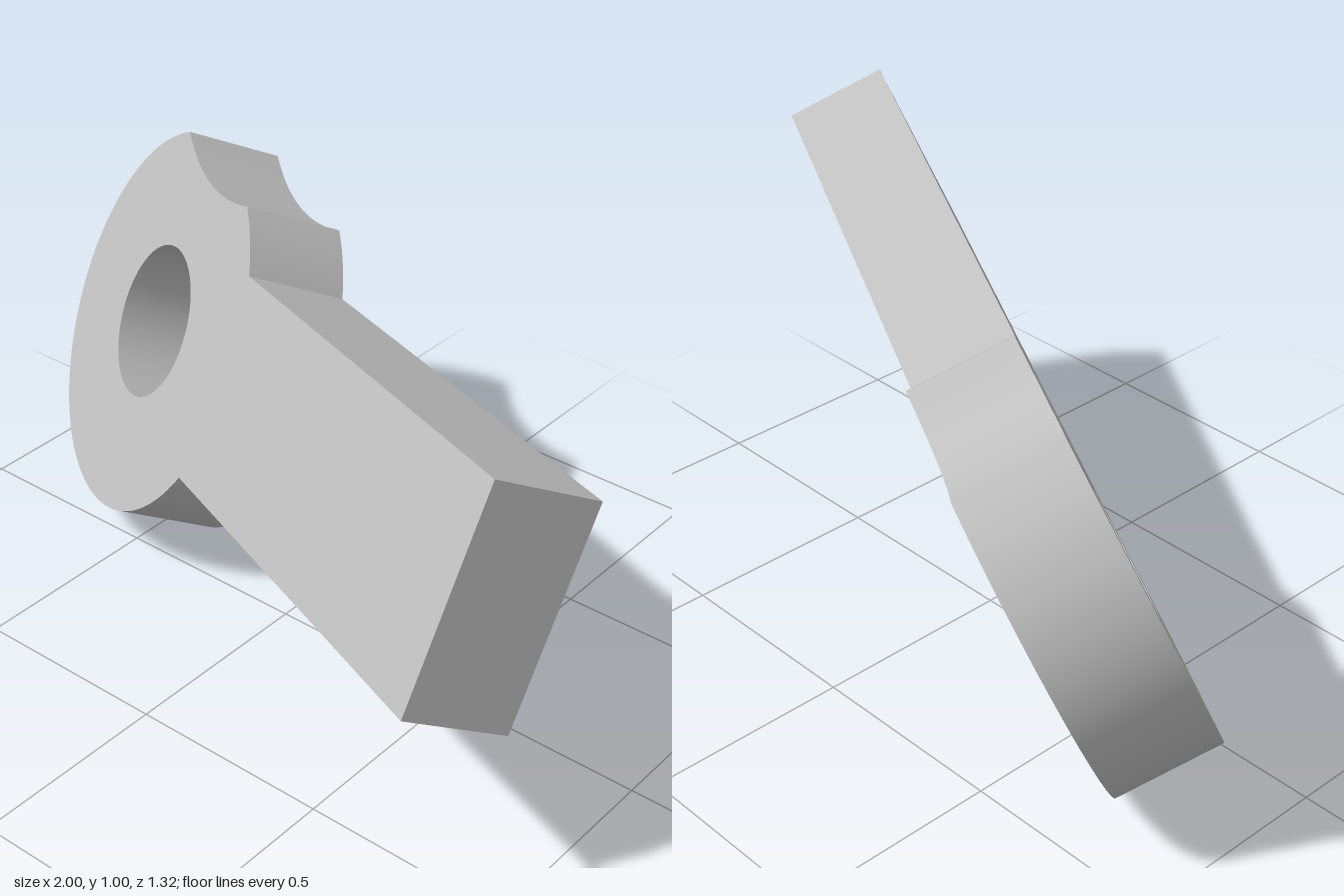
import * as THREE from 'three';
import { toCreasedNormals } from 'three/addons/utils/BufferGeometryUtils.js';

const RING = 0.483, HOLE = 0.194, HALF = 0.258, END = 1.615, DEPTH = 0.256;

// Outline of the plate, with the ring centre at the origin and the bar along +x
function plateShape() {
  const neck = Math.asin(HALF / RING);
  const mid = THREE.MathUtils.degToRad(81.3), half = THREE.MathUtils.degToRad(26.9);

  // Shallow scallop: an arc centred outside the ring
  const chord = RING * Math.sin(half), sag = 0.044;
  const r = (chord * chord + sag * sag) / (2 * sag);
  const dist = RING * Math.cos(half) - sag + r;
  const spread = Math.asin(chord / r);

  const shape = new THREE.Shape();
  shape.moveTo(RING * Math.cos(neck), -HALF);
  shape.lineTo(END, -HALF);
  shape.lineTo(END, HALF);
  shape.absarc(0, 0, RING, neck, mid - half, false);
  shape.absarc(dist * Math.cos(mid), dist * Math.sin(mid), r,
    mid + Math.PI + spread, mid + Math.PI - spread, true);
  shape.absarc(0, 0, RING, mid + half, 2 * Math.PI - neck, false);

  const hole = new THREE.Path();
  hole.absarc(0, 0, HOLE, 0, 2 * Math.PI, true);
  shape.holes.push(hole);
  return shape;
}

export function createModel() {
  const group = new THREE.Group();
  group.name = 'ringLever';
  const grey = new THREE.MeshStandardMaterial({ color: 0xbfbfbf });
  grey.name = 'light grey';

  // Plate with ring eye, scallop and bar
  let geometry = new THREE.ExtrudeGeometry(plateShape(), {
    depth: DEPTH, bevelEnabled: false, curveSegments: 48,
  });
  geometry.translate(0, 0, -DEPTH);
  geometry.clearGroups();
  geometry = toCreasedNormals(geometry, 0.4);
  const lever = new THREE.Mesh(geometry, grey);
  lever.name = 'lever';

  // Tilted pose: bar direction, then face normal
  const u = new THREE.Vector3(0.887, 0.137, 0.44).normalize();
  const n = u.clone().cross(new THREE.Vector3(0.068, 0.902, -0.427)).normalize();
  const v = n.clone().cross(u);
  lever.quaternion.setFromRotationMatrix(new THREE.Matrix4().makeBasis(u, v, n));
  lever.position.set(-0.57, 0.547, -0.163);
  group.add(lever);
  return group;
}
